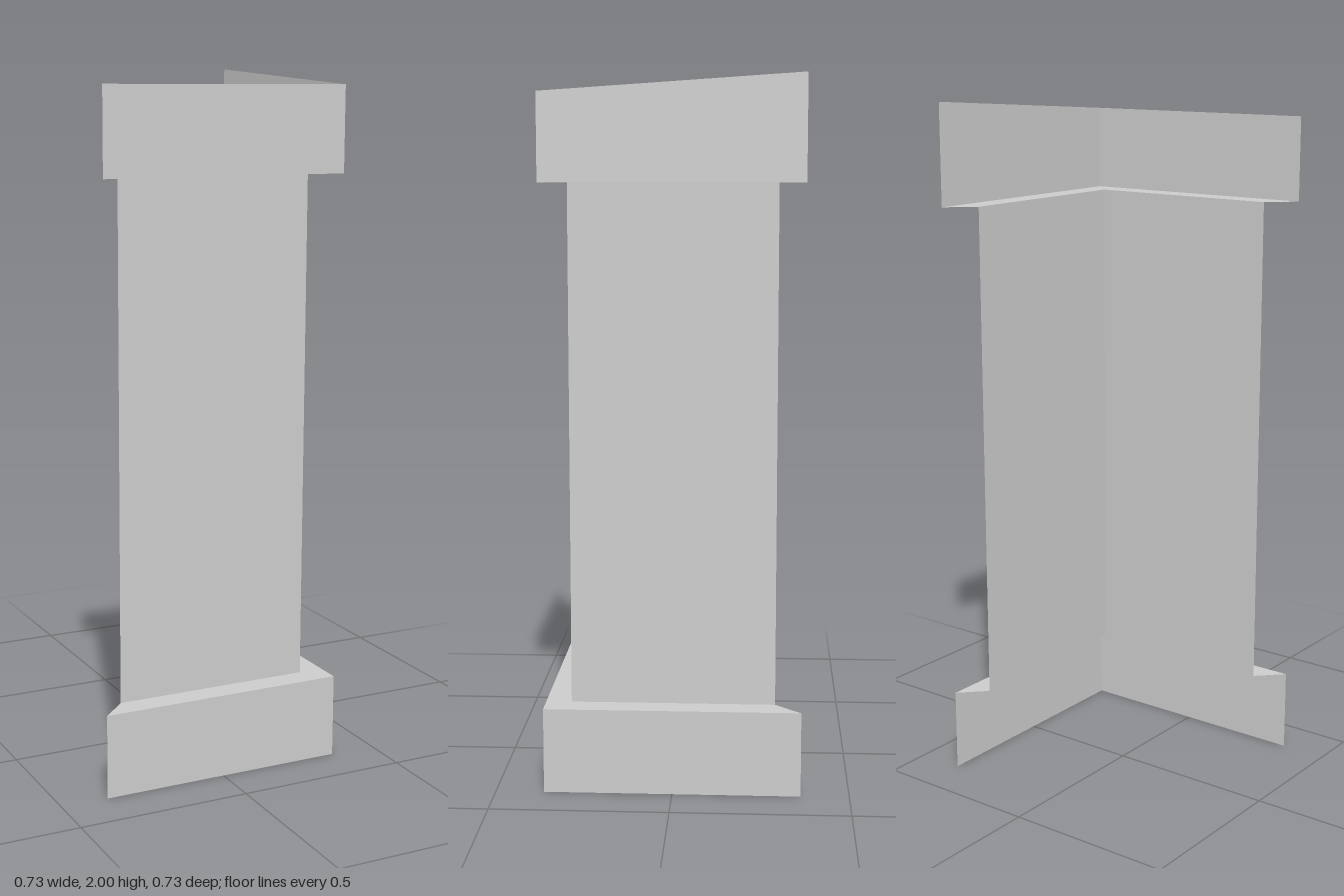
import * as THREE from 'three';

const OUTER = 0.363; // half width of base and cap
const INNER = 0.29; // half width of the shaft

// Open L-shaped plan: front left, front right corner, back right
const PLAN = [[-1, 1], [1, 1], [1, -1]];

// Two mitred faces between a lower and an upper ring, each ring { r, y: [heights] }
function band(name, lower, upper, material) {
  const point = (ring, i) => [PLAN[i][0] * ring.r, ring.y[i], PLAN[i][1] * ring.r];
  const positions = [];
  for (let i = 0; i < 2; i++) {
    const a = point(lower, i), b = point(lower, i + 1);
    const c = point(upper, i + 1), d = point(upper, i);
    positions.push(...a, ...b, ...c, ...a, ...c, ...d);
  }
  const geometry = new THREE.BufferGeometry();
  geometry.setAttribute('position', new THREE.Float32BufferAttribute(positions, 3));
  geometry.computeVertexNormals();
  const mesh = new THREE.Mesh(geometry, material);
  mesh.name = name;
  return mesh;
}

export function createModel() {
  const group = new THREE.Group();
  group.name = 'cornerPillar';
  const stone = new THREE.MeshStandardMaterial({ color: 0xcccccc, side: THREE.DoubleSide });
  stone.name = 'pale grey stone';

  const ring = (r, y, backY = y) => ({ r, y: [y, y, backY] });

  // Profile from the ground up; the cap rises towards the back right
  const rings = [
    ring(OUTER, 0),
    ring(OUTER, 0.243),
    ring(INNER, 0.243),
    ring(INNER, 1.71),
    ring(OUTER, 1.71),
    ring(OUTER, 1.952, 2),
  ];
  const names = ['base', 'baseLedge', 'shaft', 'capUnderside', 'cap'];
  names.forEach((name, i) => group.add(band(name, rings[i], rings[i + 1], stone)));
  return group;
}
